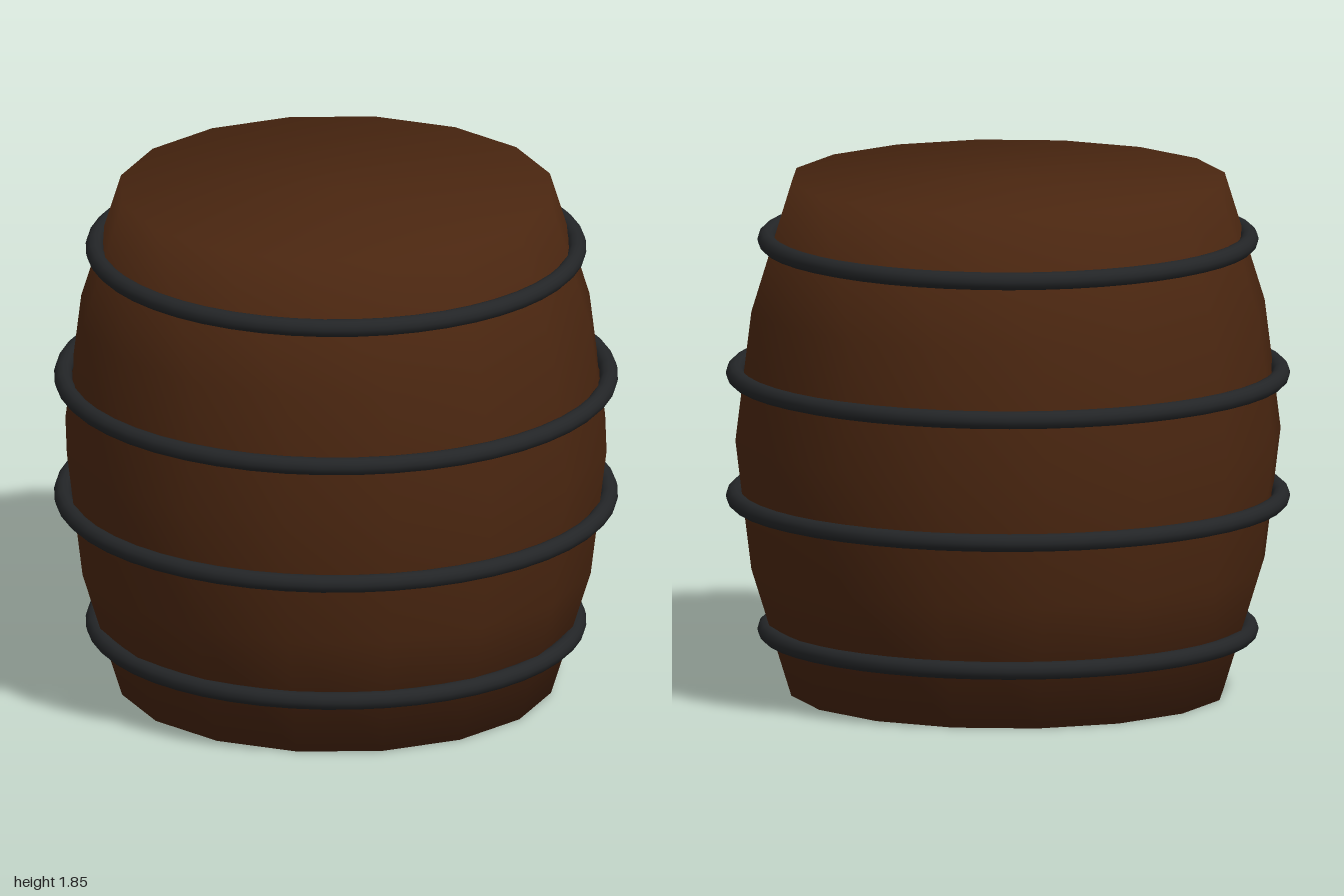
import * as THREE from 'three';

export function createModel() {
  const model = new THREE.Group();
  model.name = 'barrel';

  const wood = new THREE.MeshStandardMaterial({ color: 0x4a2610 });
  wood.name = 'dark brown wood';
  const iron = new THREE.MeshStandardMaterial({ color: 0x232527 });
  iron.name = 'black iron';

  // Bulging body with closed ends, shaded softly over the rims
  const profile = [
    [0, 0], [0.775, 0], [0.918, 0.46], [0.975, 0.922],
    [0.918, 1.385], [0.775, 1.845], [0, 1.845],
  ].map(([r, y]) => new THREE.Vector2(r, y));
  const body = new THREE.Mesh(new THREE.LatheGeometry(profile, 16), wood);
  body.name = 'barrelBody';
  model.add(body);

  // Four round iron hoops: [name, height, ring radius]
  const tube = 0.032;
  const hoops = [
    ['bottomHoop', 0.223, 0.856],
    ['lowerMiddleHoop', 0.703, 0.968],
    ['upperMiddleHoop', 1.145, 0.968],
    ['topHoop', 1.625, 0.856],
  ];
  for (const [name, y, radius] of hoops) {
    const hoop = new THREE.Mesh(new THREE.TorusGeometry(radius, tube, 12, 48), iron);
    hoop.name = name;
    hoop.rotation.x = Math.PI / 2;
    hoop.position.y = y;
    model.add(hoop);
  }

  return model;
}
